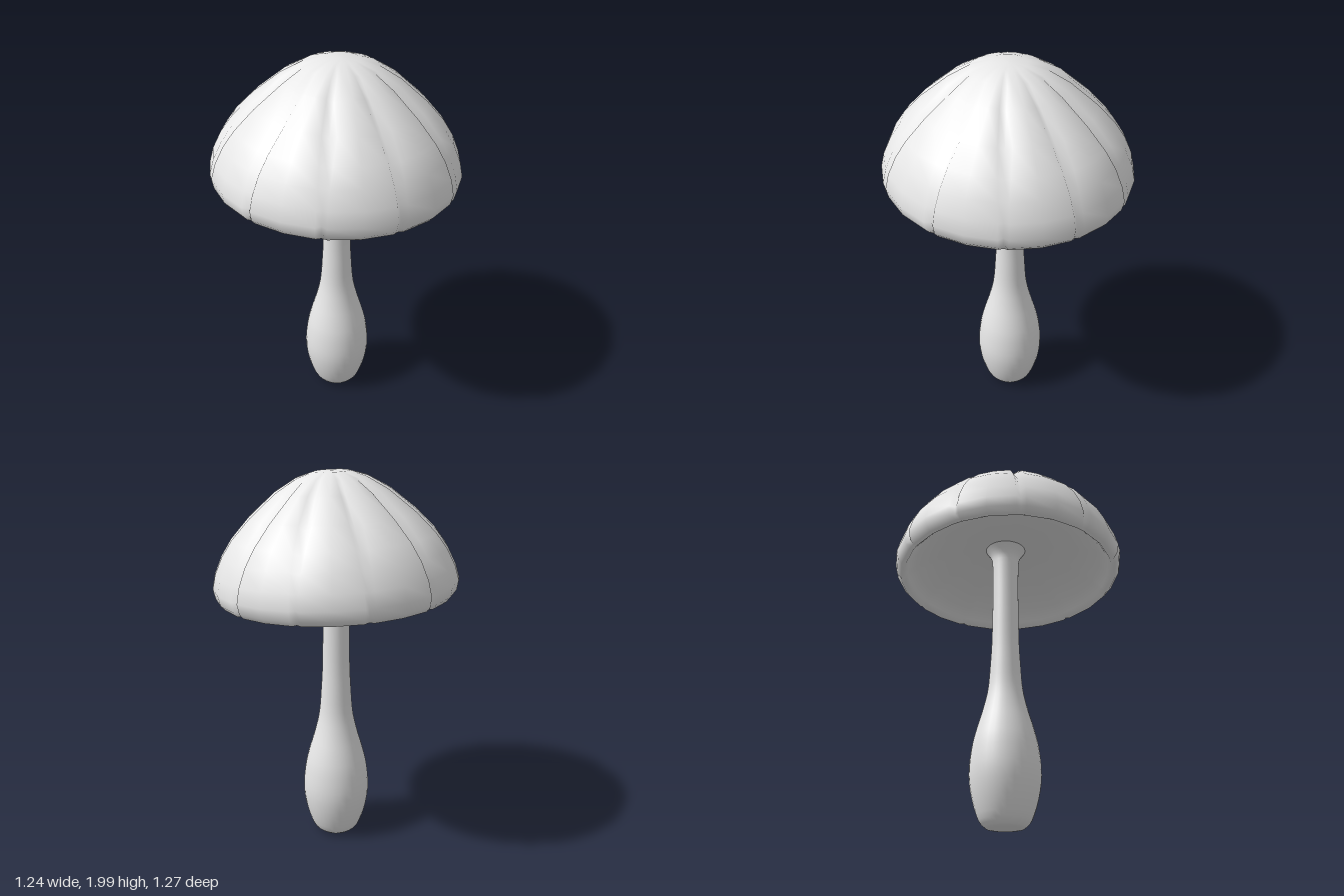
import * as THREE from 'three';

const material = new THREE.MeshStandardMaterial({ color: 0xe7e7e7 });
material.name = 'pale grey';

// Cap cross-section from crown to underside: radius, height above the rim, groove depth
const CAP_PROFILE = [
  [0, 0.622, 0], [0.09, 0.62, 0], [0.18, 0.593, 0.002], [0.29, 0.53, 0.02],
  [0.425, 0.418, 0.03], [0.52, 0.318, 0.03], [0.575, 0.238, 0.028], [0.615, 0.153, 0.025],
  [0.634, 0.08, 0.022], [0.624, 0.03, 0.016], [0.602, 0.004, 0.006], [0.58, 0.004, 0],
  [0.563, 0.03, 0], [0.515, 0.078, 0], [0.4, 0.135, 0], [0.25, 0.172, 0], [0.12, 0.185, 0],
  [0, 0.187, 0],
];

// Directions of the eleven grooves in degrees, from +x towards +z
const GROOVES = [-15.2, 20.2, 54.2, 88.2, 121.4, 153, 184.7, 217.2, 248.7, 280.2, 312.4];

function capGeometry() {
  const positions = [], index = [];
  const columns = GROOVES.length * 4;
  const last = CAP_PROFILE.length - 1;
  CAP_PROFILE.forEach(([r, y, depth], i) => {
    // Outward normal of the cross-section, along which the grooves are sunk
    const a = CAP_PROFILE[Math.max(i - 1, 0)];
    const b = CAP_PROFILE[Math.min(i + 1, last)];
    const len = Math.hypot(b[0] - a[0], b[1] - a[1]);
    const nr = -(b[1] - a[1]) / len, ny = (b[0] - a[0]) / len;
    // Grooves are wide near the crown and narrow at the rim
    const w = THREE.MathUtils.lerp(0.3, 0.07, Math.min(r / 0.6, 1));
    GROOVES.forEach((start, g) => {
      const end = g + 1 < GROOVES.length ? GROOVES[g + 1] : GROOVES[0] + 360;
      [0, w, 0.5, 1 - w].forEach((t, k) => {
        const angle = THREE.MathUtils.degToRad(start + (end - start) * t);
        const sink = k === 0 ? depth : 0;
        const radius = r - nr * sink;
        // The outline is slightly narrower across than front to back
        positions.push(Math.cos(angle) * radius * 0.982, y - ny * sink, Math.sin(angle) * radius * 1.005);
      });
    });
  });
  for (let i = 0; i < last; i++) {
    for (let j = 0; j < columns; j++) {
      const k = (j + 1) % columns;
      const a = i * columns + j, b = i * columns + k;
      const c = a + columns, d = b + columns;
      if (i > 0) index.push(a, b, c);
      if (i < last - 1) index.push(b, d, c);
    }
  }
  const geometry = new THREE.BufferGeometry();
  geometry.setAttribute('position', new THREE.Float32BufferAttribute(positions, 3));
  geometry.setIndex(index);
  geometry.computeVertexNormals();
  return geometry;
}

// Bulbous stem that flares where it meets the underside of the cap
function stemGeometry() {
  const side = new THREE.SplineCurve([
    [0.095, 0.008], [0.13, 0.045], [0.165, 0.15], [0.181, 0.27], [0.17, 0.4], [0.147, 0.5],
    [0.115, 0.61], [0.091, 0.72], [0.08, 0.86], [0.073, 1.0], [0.07, 1.25], [0.072, 1.44],
    [0.08, 1.51], [0.11, 1.56],
  ].map(([r, y]) => new THREE.Vector2(r, y)));
  const base = [new THREE.Vector2(0, 0.005), new THREE.Vector2(0.075, 0.005)];
  return new THREE.LatheGeometry([...base, ...side.getPoints(40)], 32);
}

export function createModel() {
  const model = new THREE.Group();
  model.name = 'mushroom';

  const stem = new THREE.Mesh(stemGeometry(), material);
  stem.name = 'stem';
  stem.position.set(-0.01, -0.005, -0.013);
  model.add(stem);

  // The cap leans slightly to the back and to one side
  const cap = new THREE.Mesh(capGeometry(), material);
  cap.name = 'cap';
  cap.position.set(-0.004, 1.37, 0);
  cap.rotation.set(-0.037, 0, -0.022);
  model.add(cap);

  return model;
}
